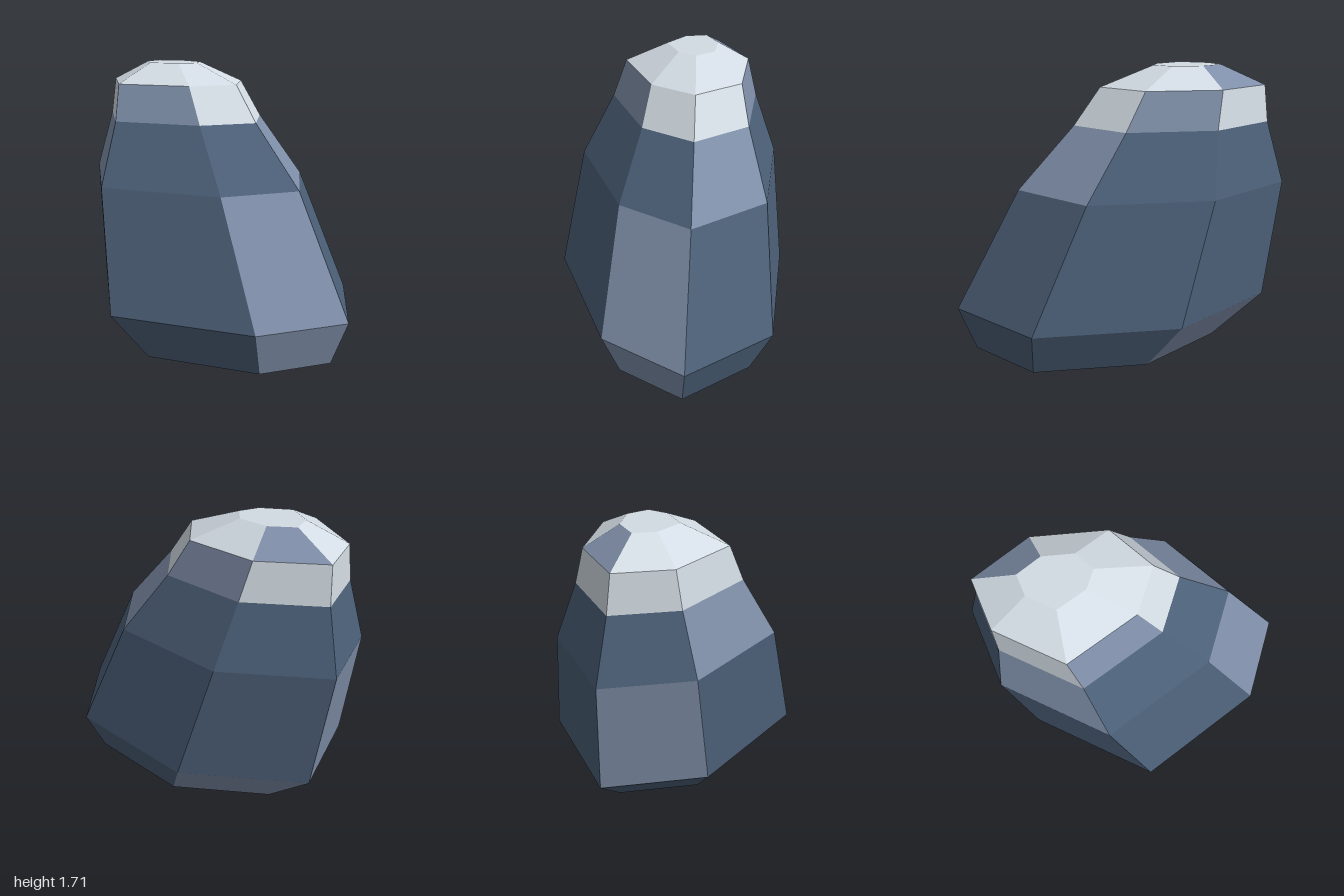
import * as THREE from 'three';

// Seven-cornered outline [x, z] shared by every level of the boulder
const OUTLINE = [[1, -0.2], [0.75, 0.32], [-0.03, 0.74], [-0.74, 0.26], [-0.9, -0.34], [-0.25, -0.74], [0.6, -0.69]];

// Levels: height, outline scale, shift in x and z
const LEVELS = [
  [0, 0.785, 0.115, -0.022],
  [0.28, 1, 0, 0],
  [1.0, 0.85, -0.24, -0.02],
  [1.37, 0.62, -0.35, -0.046],
  [1.59, 0.526, -0.416, -0.055],
  [1.71, 0.216, -0.435, -0.09],
];

// Colour of each facet, one row per band from the bottom up:
// d = dark stone, l = light stone, s = snow
const BANDS = ['ldddldd', 'lddlddd', 'ddldddl', 'slsssls', 'sssslss'];

export function createModel() {
  const material = (name, color) => new THREE.MeshStandardMaterial({ name, color });
  const parts = {
    d: { name: 'darkStoneFacets', material: material('darkStone', 0x4c6078), points: [] },
    l: { name: 'lightStoneFacets', material: material('lightStone', 0x7f8fa9), points: [] },
    s: { name: 'snowCap', material: material('snow', 0xd3dce4), points: [] },
  };

  const rings = LEVELS.map(([y, scale, dx, dz]) =>
    OUTLINE.map(([x, z]) => [x * scale + dx, y, z * scale + dz]));
  const addTriangle = (key, ...corners) => parts[key].points.push(...corners.flat());

  // Side facets
  BANDS.forEach((row, band) => {
    const low = rings[band], high = rings[band + 1];
    [...row].forEach((key, i) => {
      const j = (i + 1) % OUTLINE.length;
      addTriangle(key, low[i], high[i], low[j]);
      addTriangle(key, low[j], high[i], high[j]);
    });
  });

  // Flat base and snowy summit
  const base = rings[0], summit = rings[rings.length - 1];
  for (let i = 1; i < OUTLINE.length - 1; i++) {
    addTriangle('d', base[0], base[i], base[i + 1]);
    addTriangle('s', summit[0], summit[i + 1], summit[i]);
  }

  const group = new THREE.Group();
  group.name = 'snowyBoulder';
  for (const part of Object.values(parts)) {
    const geometry = new THREE.BufferGeometry();
    geometry.setAttribute('position', new THREE.Float32BufferAttribute(part.points, 3));
    geometry.computeVertexNormals();
    const mesh = new THREE.Mesh(geometry, part.material);
    mesh.name = part.name;
    group.add(mesh);
  }
  return group;
}
